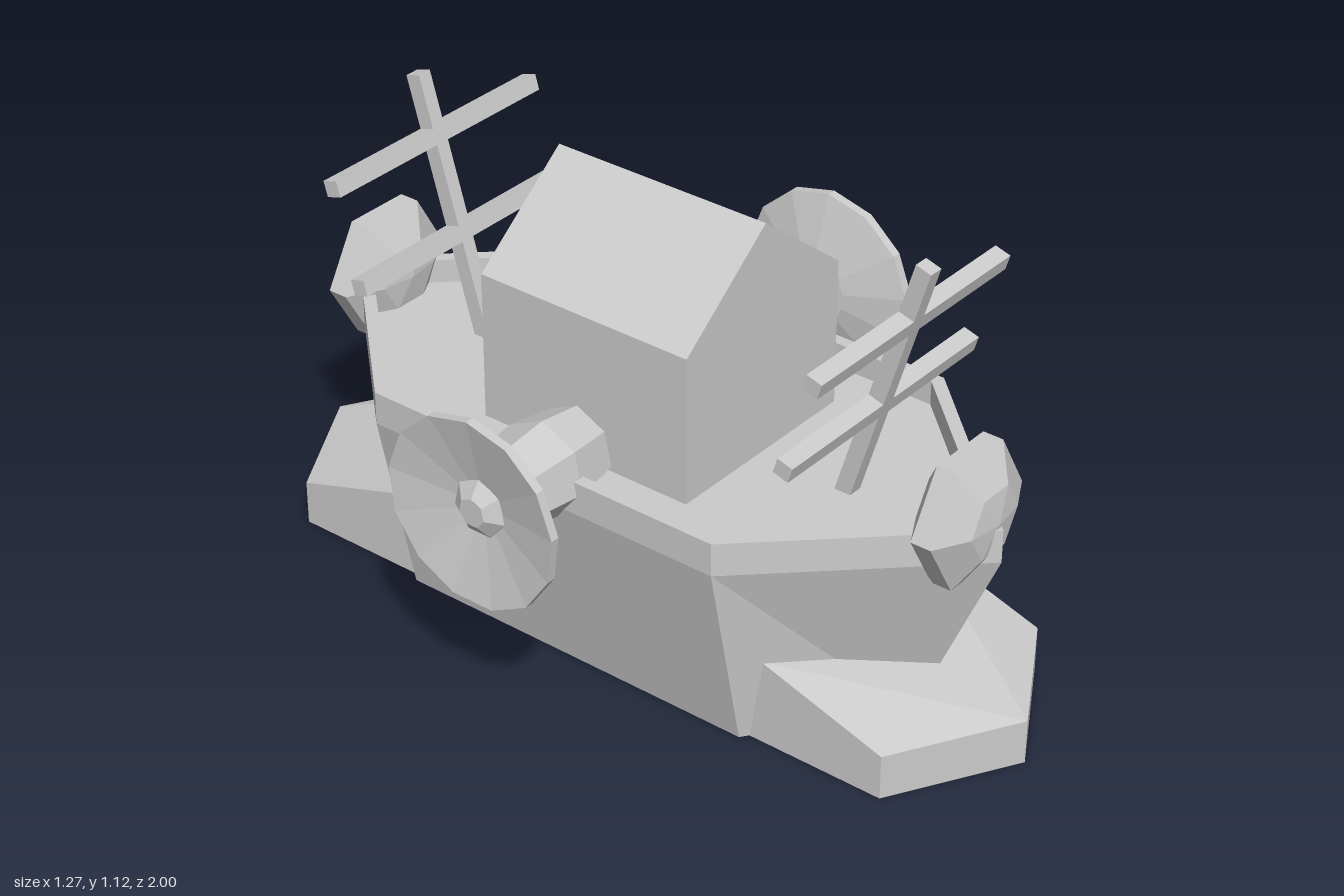
import * as THREE from 'three';

const material = new THREE.MeshStandardMaterial({ color: 0xcccccc, flatShading: true, side: THREE.DoubleSide });

function addMesh(parent, name, geometry) {
  const mesh = new THREE.Mesh(geometry, material);
  mesh.name = name;
  parent.add(mesh);
  return mesh;
}

// Closed solid from stacked rings of [x, y, z], each counter-clockwise seen from above
function loft(rings, flipDiagonal = () => false) {
  const positions = [];
  const tri = (...corners) => corners.forEach((p) => positions.push(...p));
  const count = rings[0].length;
  for (let r = 0; r < rings.length - 1; r++) {
    for (let i = 0; i < count; i++) {
      const j = (i + 1) % count;
      const a = rings[r][i], b = rings[r][j], c = rings[r + 1][j], d = rings[r + 1][i];
      if (flipDiagonal(i)) { tri(a, b, c); tri(a, c, d); }
      else { tri(a, b, d); tri(b, c, d); }
    }
  }
  const bottom = rings[0], top = rings[rings.length - 1];
  for (let i = 1; i < count - 1; i++) {
    tri(bottom[0], bottom[i + 1], bottom[i]);
    tri(top[0], top[i], top[i + 1]);
  }
  const geometry = new THREE.BufferGeometry();
  geometry.setAttribute('position', new THREE.Float32BufferAttribute(positions, 3));
  geometry.computeVertexNormals();
  return geometry;
}

// Faceted turned part, profile given as [radius, distance along axis]
function turned(profile, sides, phiStart) {
  return new THREE.LatheGeometry(profile.map(([r, d]) => new THREE.Vector2(r, d)), sides, phiStart);
}

// Hull outline pointed at both ends
const hullRing = (y, w, shoulder, tip) => [
  [w, y, shoulder], [w, y, -shoulder], [0, y, -tip],
  [-w, y, -shoulder], [-w, y, shoulder], [0, y, tip],
];

// Sloping foot, tilted mast and lantern, the same at both ends
function createEnd(name) {
  const end = new THREE.Group();
  end.name = name;

  addMesh(end, 'foot', loft([
    [[0, 0, 1], [0.295, 0, 0.83], [0.295, 0, 0.47], [-0.295, 0, 0.47], [-0.295, 0, 0.83]],
    [[0, 0.11, 1], [0.295, 0.11, 0.83], [0.295, 0.21, 0.51], [-0.295, 0.21, 0.51], [-0.295, 0.11, 0.83]],
  ]));

  const mast = new THREE.Group();
  mast.name = 'mast';
  mast.position.set(0, 0.56, 0.53);
  mast.rotation.x = 0.289;
  addMesh(mast, 'mastPost', new THREE.BoxGeometry(0.036, 0.65, 0.04)).position.y = 0.25;
  for (const y of [0.193, 0.428]) {
    addMesh(mast, 'mastCrossbar', new THREE.BoxGeometry(0.666, 0.038, 0.04)).position.y = y;
  }
  end.add(mast);

  const lantern = addMesh(end, 'lantern', turned([
    [0, -0.082], [0.085, -0.07], [0.168, -0.025], [0.168, 0.025], [0.085, 0.07], [0, 0.082],
  ], 6, Math.PI / 2));
  lantern.position.set(0, 0.57, 0.818);
  lantern.rotation.x = Math.PI / 2;
  return end;
}

// Barrel with a dish on its outer end
function createSide(name) {
  const side = new THREE.Group();
  side.name = name;
  const axis = new THREE.Group();
  axis.position.y = 0.55;
  axis.rotation.z = -Math.PI / 2;
  side.add(axis);
  addMesh(axis, 'barrel', turned([
    [0, 0.285], [0.097, 0.285], [0.114, 0.4], [0.1, 0.52],
    [0.085, 0.57], [0.07, 0.605], [0.035, 0.63], [0, 0.63],
  ], 7, -Math.PI / 2));
  addMesh(axis, 'dish', turned([
    [0.08, 0.57], [0.228, 0.615], [0.228, 0.637], [0, 0.59],
  ], 13, -Math.PI / 2));
  return side;
}

export function createModel() {
  const model = new THREE.Group();
  model.name = 'boat';

  // Hull with raised rim and sunken deck
  addMesh(model, 'hull', loft([
    hullRing(0, 0.314, 0.47, 0.705),
    hullRing(0.48, 0.418, 0.47, 0.91),
    hullRing(0.56, 0.418, 0.47, 0.91),
    hullRing(0.56, 0.388, 0.457, 0.868),
    hullRing(0.5, 0.388, 0.457, 0.868),
  ], (i) => i % 3 === 2));

  // Cabin with gabled roof
  const gable = new THREE.Shape([
    [-0.265, 0.48], [0.265, 0.48], [0.265, 0.86], [0, 1.068], [-0.265, 0.86],
  ].map(([x, y]) => new THREE.Vector2(x, y)));
  const cabin = new THREE.ExtrudeGeometry(gable, { depth: 0.565, bevelEnabled: false });
  addMesh(model, 'cabin', cabin.translate(0, 0, -0.2825));

  // Mirrored ends and sides
  const back = createEnd('backEnd');
  back.rotation.y = Math.PI;
  const right = createSide('rightSide');
  right.rotation.y = Math.PI;
  model.add(createEnd('frontEnd'), back, createSide('leftSide'), right);

  return model;
}
